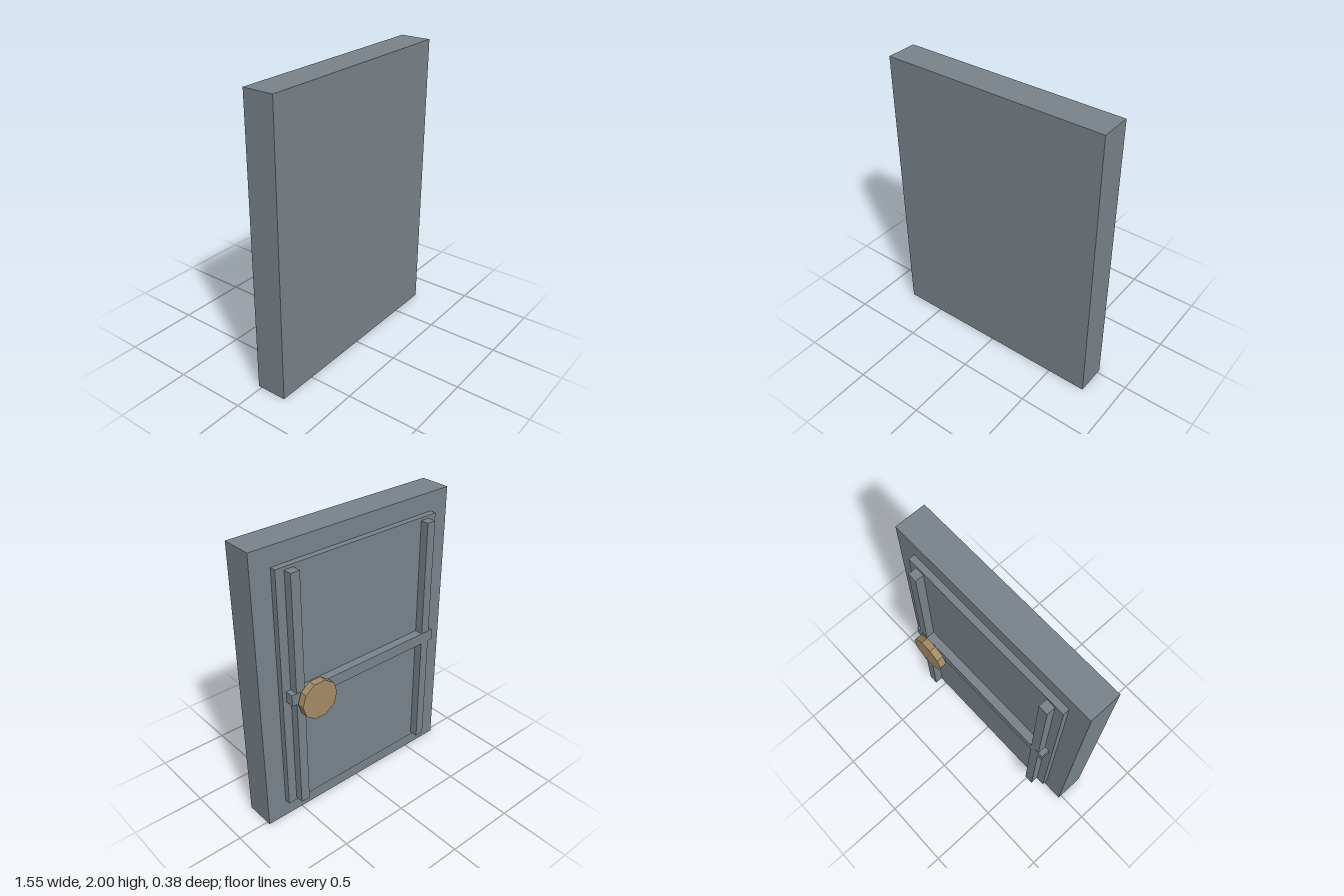
import * as THREE from 'three';

export function createModel() {
  const model = new THREE.Group();
  const steel = new THREE.MeshStandardMaterial({ color: 0x79838a });
  steel.name = 'steel grey';
  const brass = new THREE.MeshStandardMaterial({ color: 0xa48a65 });
  brass.name = 'dull brass';

  // Box given by its centre in x and y, its size, and its z range
  function slab(name, x, y, w, h, z0, z1) {
    const mesh = new THREE.Mesh(new THREE.BoxGeometry(w, h, z1 - z0), steel);
    mesh.position.set(x, y, (z0 + z1) / 2);
    mesh.name = name;
    model.add(mesh);
  }

  // Thick door with a raised inner panel on the back
  slab('door', 0, 1, 1.555, 2, -0.025, 0.19);
  slab('innerPanel', 0, 1, 1.27, 1.74, -0.067, -0.025);

  // Locking bars: two uprights and one crossbar
  for (const side of [-1, 1]) {
    slab(side > 0 ? 'leftBar' : 'rightBar', side * 0.54, 1, 0.065, 1.7, -0.126, -0.067);
  }
  slab('crossBar', 0, 1, 1.215, 0.08, -0.127, -0.067);

  // Ten-sided lock disc, with corners pointing along x
  const disc = new THREE.CylinderGeometry(0.135, 0.135, 0.05, 10).toNonIndexed();
  disc.rotateY(Math.PI / 2).rotateX(Math.PI / 2);
  disc.computeVertexNormals();
  const lock = new THREE.Mesh(disc, brass);
  lock.position.set(0.44, 0.968, -0.165);
  lock.name = 'lockDisc';
  model.add(lock);

  return model;
}
